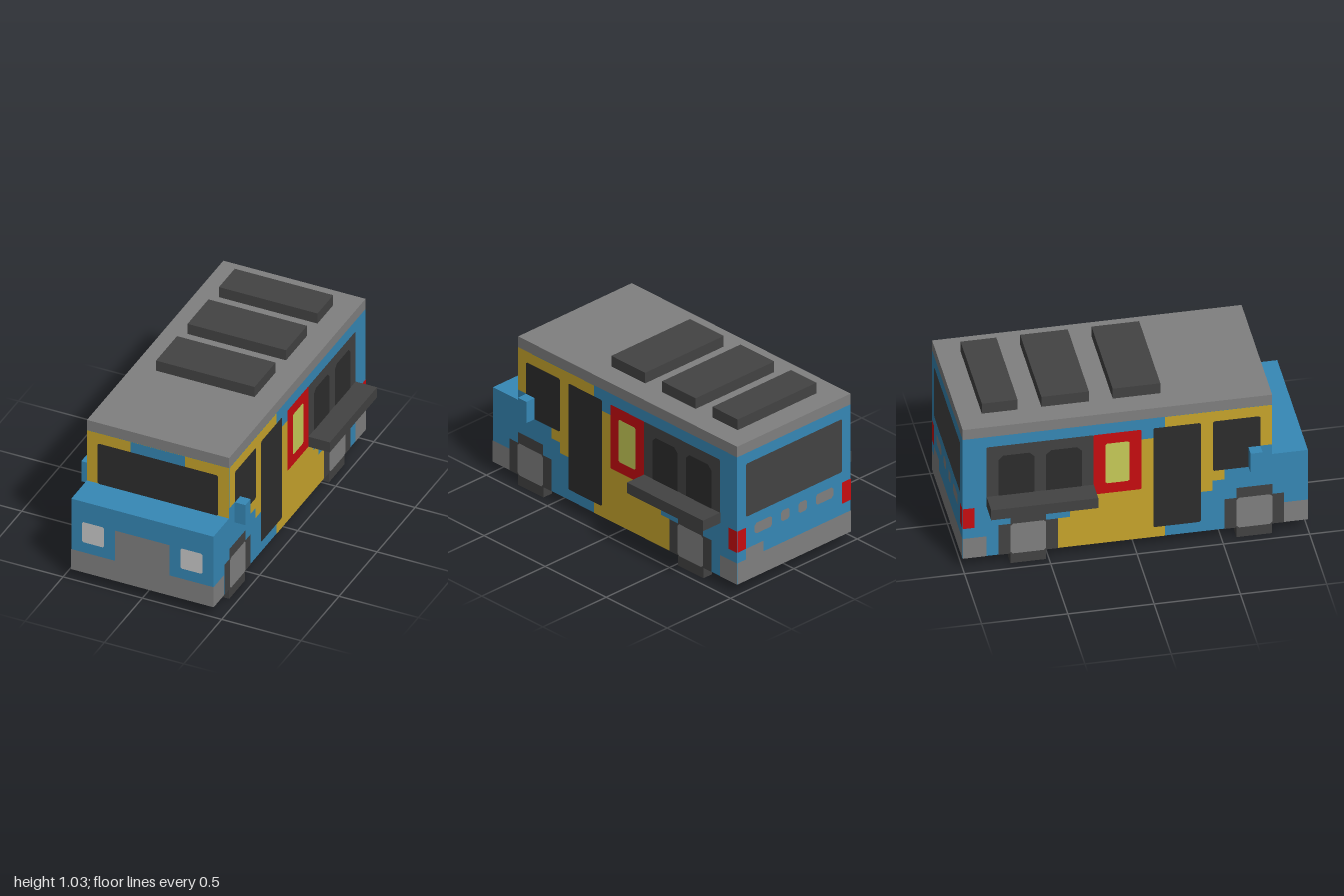
import * as THREE from 'three';

const U = 2 / 29;        // one block unit
const LIFT = 0.0015;     // height of each painted layer

export function createModel() {
  const van = new THREE.Group();
  van.name = 'camperVan';

  const paint = (name, color) => {
    const m = new THREE.MeshStandardMaterial({ color });
    m.name = name;
    return m;
  };
  const blue = paint('blue', 0x3688b6);
  const yellow = paint('yellow', 0xc8a52c);
  const grey = paint('grey', 0x808080);
  const dark = paint('darkGrey', 0x434343);
  const black = paint('blackGlass', 0x2d2d2d);
  const red = paint('red', 0xc80c10);
  const lamp = paint('lampWhite', 0xcacaca);
  const lime = paint('limeGlass', 0xc8cc58);

  // Solid block given by its limits in block units
  function block(name, mat, x0, x1, y0, y1, z0, z1) {
    const mesh = new THREE.Mesh(new THREE.BoxGeometry((x1 - x0) * U, (y1 - y0) * U, (z1 - z0) * U), mat);
    mesh.position.set((x0 + x1) / 2 * U, (y0 + y1) / 2 * U, (z0 + z1) / 2 * U);
    mesh.name = name;
    van.add(mesh);
  }

  // Rectangle outline with clipped corners
  const rect = (a0, a1, b0, b1, c = 0) => c === 0
    ? [[a0, b0], [a1, b0], [a1, b1], [a0, b1]]
    : [[a0 + c, b0], [a1 - c, b0], [a1, b0 + c], [a1, b1 - c],
      [a1 - c, b1], [a0 + c, b1], [a0, b1 - c], [a0, b0 + c]];

  // Painted face: an outline laid just above one side of the body
  const faces = {
    front: { sign: 1, place: (m, d) => { m.position.z = 14.5 * U + d; } },
    cab: { sign: 1, place: (m, d) => { m.position.z = 11.5 * U + d; } },
    back: { sign: -1, place: (m, d) => { m.position.z = -14.5 * U - d; m.rotation.y = Math.PI; } },
    left: { sign: -1, place: (m, d) => { m.position.x = 6.5 * U + d; m.rotation.y = Math.PI / 2; } },
    right: { sign: 1, place: (m, d) => { m.position.x = -6.5 * U - d; m.rotation.y = -Math.PI / 2; } },
    under: { sign: 1, place: (m, d) => { m.position.y = U - d; m.rotation.x = Math.PI / 2; } },
  };
  function decal(name, mat, face, points, layer = 1) {
    const { sign, place } = faces[face];
    const shape = new THREE.Shape(points.map(([a, b]) => new THREE.Vector2(sign * a * U, b * U)));
    const mesh = new THREE.Mesh(new THREE.ShapeGeometry(shape), mat);
    mesh.name = name;
    place(mesh, layer * LIFT);
    van.add(mesh);
  }

  // Body, bonnet and roof
  block('body', blue, -6.5, 6.5, 1, 13, -14.5, 11.5);
  block('bonnet', blue, -6.5, 6.5, 1, 8, 11.5, 14.5);
  block('roof', grey, -6.5, 6.5, 13, 14, -14.5, 11.5);
  for (const [z0, z1] of [[-1.5, 2.5], [-7.5, -3.5], [-12.5, -9.5]]) {
    block('roofPanel', dark, -4.5, 4.5, 14, 15, z0, z1);
  }

  // Underside with the side colours folded over its edges
  decal('underside', grey, 'under', rect(-6.5, 6.5, -14.5, 14.5));
  for (const x of [-6.5, 5.5]) {
    decal('yellowSill', yellow, 'under', rect(x, x + 1, -6.5, 2.5), 2);
    decal('blueSill', blue, 'under', rect(x, x + 1, 2.5, 7.5), 2);
  }

  // Mirrors, awning shelves and wheels on both sides
  for (const s of [-1, 1]) {
    const pair = (name, mat, a, b, ...rest) =>
      block(name, mat, Math.min(s * a, s * b), Math.max(s * a, s * b), ...rest);
    pair('mirror', blue, 6.5, 7.5, 7, 9, 9.5, 10.5);
    pair('sideShelf', dark, 6.5, 8.5, 6, 7, -12.5, -3.5);
    pair('frontWheel', dark, 5.5, 6.5, 0, 1, 8.5, 11.5);
    pair('rearWheel', dark, 5.5, 6.5, 0, 1, -10.5, -7.5);
  }

  // Side livery, windows, doors and wheel arches
  const livery = [[11.5, 13], [2.5, 13], [2.5, 11], [-3.5, 11], [-3.5, 6], [-4.5, 6], [-4.5, 5],
    [-5.5, 5], [-5.5, 4], [-6.5, 4], [-6.5, 1], [2.5, 1], [2.5, 5], [6.5, 5], [6.5, 6],
    [7.5, 6], [7.5, 7], [10.5, 7], [10.5, 9], [11.5, 9]];
  for (const side of ['left', 'right']) {
    decal('yellowLivery', yellow, side, livery);
    decal('cabWindow', black, side, rect(6.5, 10.5, 7, 12, 0.12), 2);
    decal('door', black, side, rect(1.5, 5.5, 2, 12, 0.12), 2);
    decal('redWindowFrame', red, side, rect(-3.5, 0.5, 6, 12, 0.08), 2);
    decal('limeWindow', lime, side, rect(-2.5, -0.5, 7, 11, 0.12), 3);
    decal('rearWindowPanel', dark, side, rect(-12.5, -3.5, 6.5, 12, 0.08), 2);
    for (const z of [-7.5, -11.5]) {
      decal('rearSideWindow', black, side,
        [[z, 7], [z + 3, 7], [z + 3, 10.6], [z + 2.6, 11], [z + 0.4, 11], [z, 10.6]], 3);
    }
    for (const z of [10, -9]) {
      decal('wheelArch', dark, side, [[z - 2.5, 1], [z + 2.5, 1], [z + 2.5, 4], [z + 1.5, 4],
        [z + 1.5, 5], [z - 1.5, 5], [z - 1.5, 4], [z - 2.5, 4]], 2);
      decal('wheelHub', grey, side, rect(z - 1.5, z + 1.5, 1, 4, 0.2), 3);
    }
    decal('frontBumperSide', grey, side, rect(12.5, 14.5, 1, 3));
    decal('rearBumperSide', grey, side, rect(-14.5, -12.5, 1, 3));
    decal('tailLightSide', red, side, rect(-14.5, -13.5, 4, 6));
  }

  // Cab front
  decal('cabYellow', yellow, 'cab', rect(-6.5, 6.5, 8, 13));
  decal('cabBlueBand', blue, 'cab', rect(-2.5, 2.5, 11.5, 13), 2);
  decal('windshield', black, 'cab', rect(-5.5, 5.5, 8, 12, 0.12), 3);

  // Nose
  decal('frontBumper', grey, 'front', [[-6.5, 1], [6.5, 1], [6.5, 3], [2.5, 3], [2.5, 6],
    [-2.5, 6], [-2.5, 3], [-6.5, 3]]);
  for (const x of [-5.5, 3.5]) decal('headlight', lamp, 'front', rect(x, x + 2, 4, 6, 0.12));

  // Tail
  decal('rearWindow', dark, 'back', rect(-5.5, 5.5, 7, 12, 0.12));
  decal('rearBumper', grey, 'back', [[-6.5, 1], [6.5, 1], [6.5, 3], [5.5, 3], [5.5, 4],
    [3.5, 4], [3.5, 3], [-6.5, 3]]);
  for (const [a, b] of [[-4.5, -2.5], [-1.5, -0.5], [0.5, 1.5], [2.5, 4.5]]) {
    decal('rearVent', grey, 'back', rect(a, b, 5, 6, 0.2));
  }
  for (const x of [-6.5, 5.5]) decal('tailLight', red, 'back', rect(x, x + 1, 4, 6));

  return van;
}
